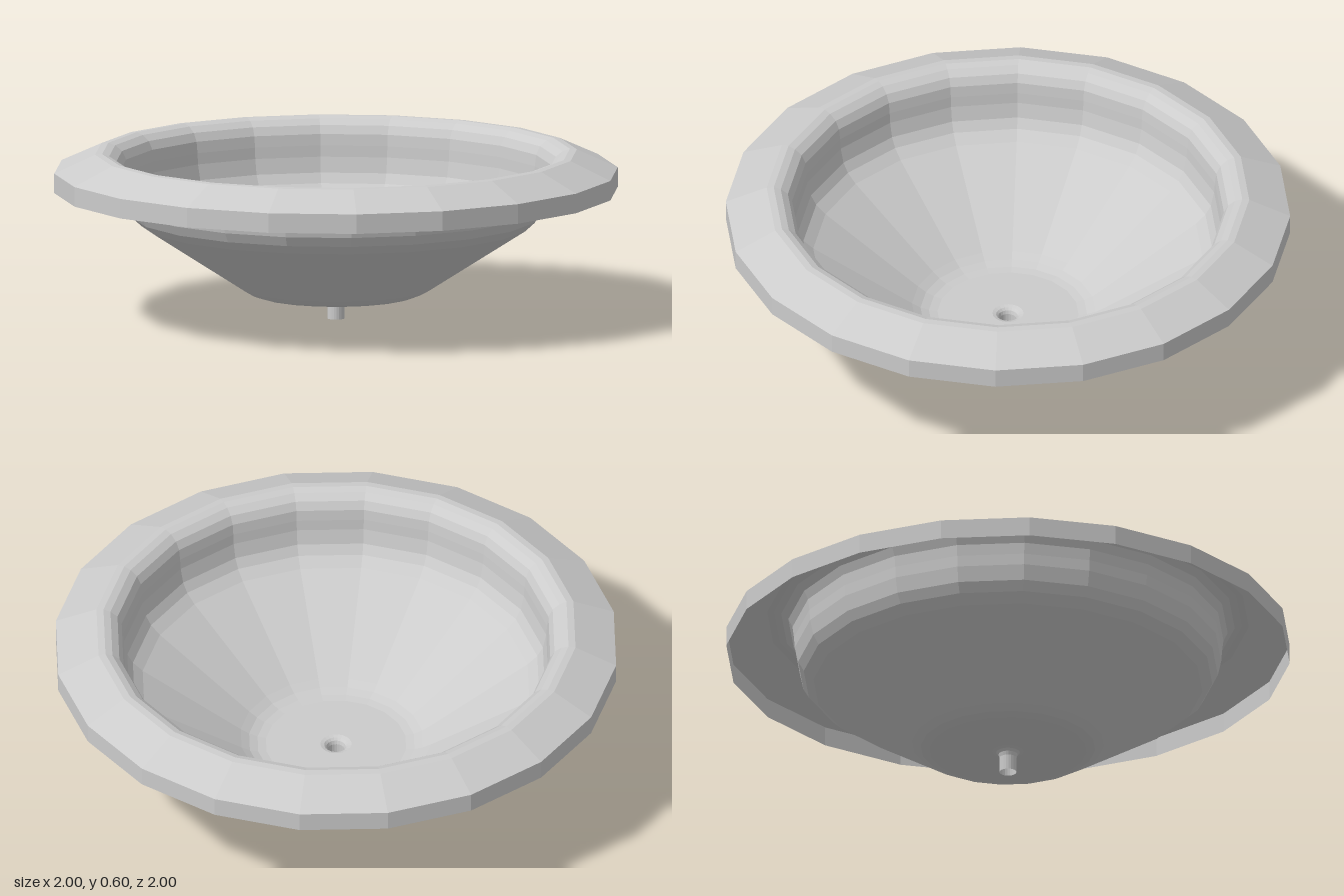
import * as THREE from 'three';

const SIDES = 20;
const material = new THREE.MeshStandardMaterial({
  color: 0xcccccc, flatShading: true, side: THREE.DoubleSide,
});

// Revolve a [radius, height] profile into a thin faceted shell
function shell(name, profile) {
  const points = profile.map(([r, y]) => new THREE.Vector2(r, y));
  const mesh = new THREE.Mesh(new THREE.LatheGeometry(points, SIDES), material);
  mesh.name = name;
  return mesh;
}

export function createModel() {
  const group = new THREE.Group();
  group.name = 'basin';

  // Open drain pipe flaring into the floor
  group.add(shell('drainPipe', [
    [0.03, 0], [0.03, 0.055], [0.034, 0.068], [0.042, 0.076], [0.055, 0.08],
  ]));

  // Floor, rounded corner, sloping wall and upright neck
  group.add(shell('bowl', [
    [0.055, 0.08], [0.25, 0.081], [0.28, 0.085], [0.31, 0.095], [0.34, 0.112],
    [0.69, 0.338], [0.725, 0.37], [0.745, 0.405], [0.757, 0.46], [0.76, 0.5],
  ]));

  // Rolled lip, sloping rim and hanging skirt, open underneath
  group.add(shell('rim', [
    [0.76, 0.5], [0.765, 0.54], [0.78, 0.57], [0.805, 0.59], [0.83, 0.598],
    [0.855, 0.596], [1, 0.53], [1, 0.46],
  ]));

  return group;
}
